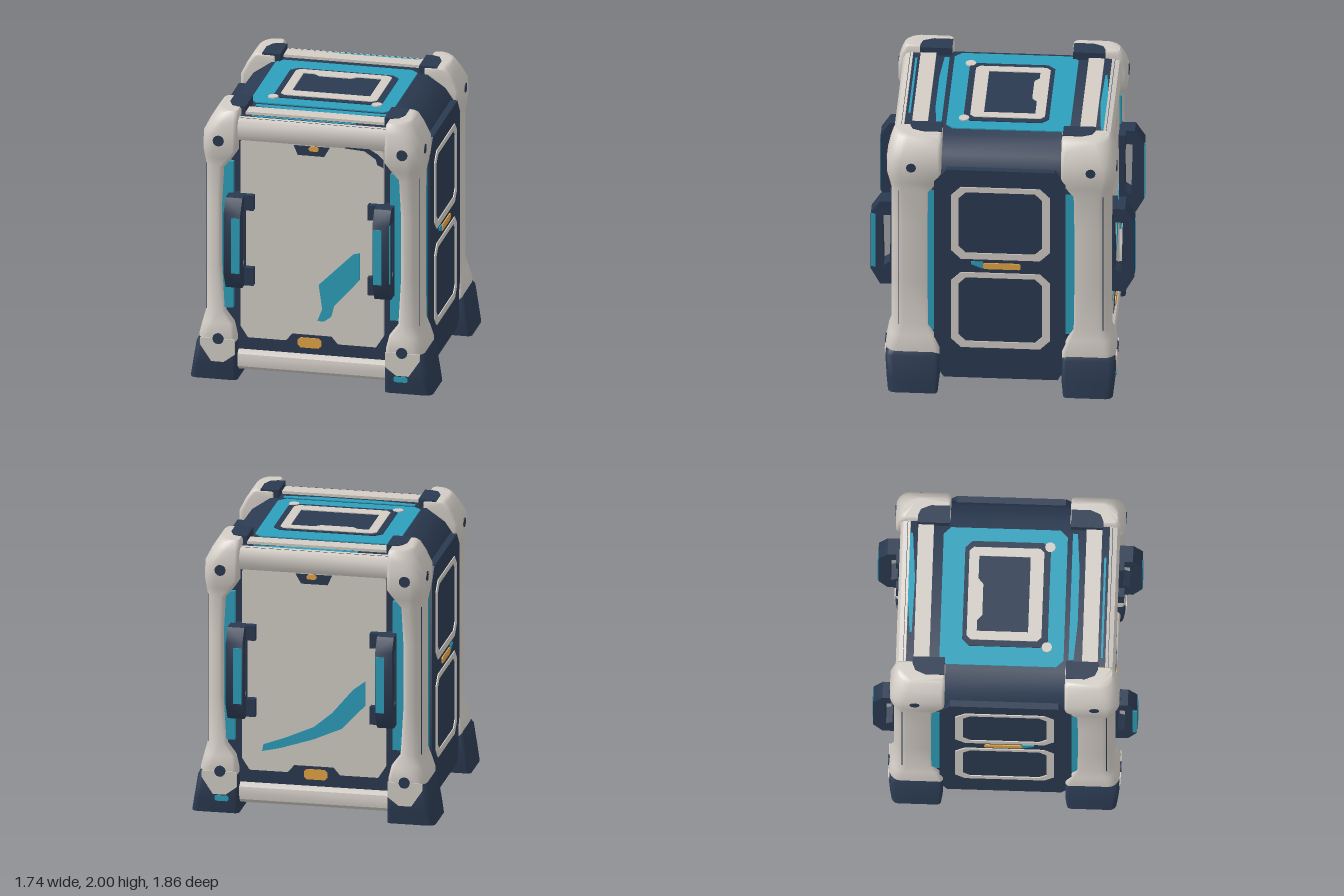
import * as THREE from 'three';
import { toCreasedNormals } from 'three/addons/utils/BufferGeometryUtils.js';

const material = (name, color) => {
  const m = new THREE.MeshStandardMaterial({ color });
  m.name = name;
  return m;
};

// Closed shape from points, with optional hole outlines
function outline(points, ...holes) {
  const toVec = (p) => new THREE.Vector2(p[0], p[1]);
  const shape = new THREE.Shape(points.map(toVec));
  holes.forEach((h) => shape.holes.push(new THREE.Path(h.map(toVec))));
  return shape;
}

// Rectangle with cut corners
const cutRect = (a0, a1, b0, b1, c) => [
  [a0 + c, b0], [a1 - c, b0], [a1, b0 + c], [a1, b1 - c],
  [a1 - c, b1], [a0 + c, b1], [a0, b1 - c], [a0, b0 + c]];

const extrude = (shape, depth) => new THREE.ExtrudeGeometry(shape, { depth, bevelEnabled: false });

// Slabs whose outer face lies at the given coordinate
const frontSlab = (shape, z, depth) => extrude(shape, depth).translate(0, 0, z - depth);
const sideSlab = (shape, x, depth) => extrude(shape, depth).rotateY(-Math.PI / 2).translate(x, 0, 0);
const topSlab = (shape, y, depth) => extrude(shape, depth).rotateX(Math.PI / 2).translate(0, y, 0);

const box = (x0, x1, y0, y1, z0, z1) => new THREE.BoxGeometry(x1 - x0, y1 - y0, z1 - z0)
  .translate((x0 + x1) / 2, (y0 + y1) / 2, (z0 + z1) / 2);

// Rounded-corner column through levels [y, x0, x1, z0, z1, outer radius]
function column(levels) {
  const steps = 5;
  const rings = levels.map(([y, x0, x1, z0, z1, r]) => {
    const ring = [];
    const corners = [[x1, z1, r, 0], [x0, z1, 0.03, 1], [x0, z0, 0.02, 2], [x1, z0, 0.03, 3]];
    for (const [cx, cz, rad, q] of corners) {
      const ox = cx === x1 ? cx - rad : cx + rad;
      const oz = cz === z1 ? cz - rad : cz + rad;
      for (let i = 0; i <= steps; i++) {
        const a = (q + i / steps) * Math.PI / 2;
        ring.push([ox + rad * Math.cos(a), y, oz + rad * Math.sin(a)]);
      }
    }
    return ring;
  });
  const pos = [], n = rings[0].length;
  const tri = (...p) => p.forEach((v) => pos.push(...v));
  for (let k = 0; k < rings.length - 1; k++) {
    for (let j = 0; j < n; j++) {
      const a = rings[k][j], b = rings[k][(j + 1) % n];
      const d = rings[k + 1][j], c = rings[k + 1][(j + 1) % n];
      tri(a, d, c);
      tri(a, c, b);
    }
  }
  const lo = rings[0], hi = rings[rings.length - 1];
  for (let j = 1; j < n - 1; j++) {
    tri(lo[0], lo[j], lo[j + 1]);
    tri(hi[0], hi[j + 1], hi[j]);
  }
  const g = new THREE.BufferGeometry();
  g.setAttribute('position', new THREE.Float32BufferAttribute(pos, 3));
  return g;
}

// Reflected copy with corner order kept facing outward
function mirrored(geo, sx, sz) {
  const g = geo.index ? geo.toNonIndexed() : geo.clone();
  const p = g.attributes.position;
  for (let i = 0; i < p.count; i++) p.setXYZ(i, p.getX(i) * sx, p.getY(i), p.getZ(i) * sz);
  if (sx * sz < 0) {
    for (let i = 0; i < p.count; i += 3) {
      const b = new THREE.Vector3().fromBufferAttribute(p, i + 1);
      const c = new THREE.Vector3().fromBufferAttribute(p, i + 2);
      p.setXYZ(i + 1, c.x, c.y, c.z);
      p.setXYZ(i + 2, b.x, b.y, b.z);
    }
  }
  g.deleteAttribute('normal');
  g.deleteAttribute('uv');
  g.clearGroups();
  return toCreasedNormals(g, 0.7);
}

export function createModel() {
  const white = material('warm white', 0xd2ccc5);
  const navy = material('navy', 0x2b3a51);
  const cyan = material('cyan', 0x2d9fbb);
  const amber = material('amber', 0xe3a546);
  const model = new THREE.Group();
  model.name = 'crate';

  const add = (name, geo, mat, sx = 1, sz = 1) => {
    const mesh = new THREE.Mesh(mirrored(geo, sx, sz), mat);
    mesh.name = name;
    model.add(mesh);
  };
  const both = [1, -1];
  const sides = (name, geo, mat) => both.forEach((s) => add(name, geo, mat, s, 1));
  const ends = (name, geo, mat, sx = 1) => both.forEach((s) => add(name, geo, mat, sx, s));
  const corners = (name, geo, mat) => both.forEach((s) => ends(name, geo, mat, s));

  // Core with sloped shoulders
  add('core', frontSlab(outline([[-0.70, 0.08], [0.70, 0.08], [0.765, 0.16], [0.765, 1.74], [0.69, 1.85],
    [0.56, 1.94], [-0.56, 1.94], [-0.69, 1.85], [-0.765, 1.74], [-0.765, 0.16]]), 0.72, 1.44), navy);

  // Corner posts with swollen ends, and feet
  corners('cornerPost', column([
    [0.24, 0.54, 0.81, 0.43, 0.80, 0.08], [0.33, 0.54, 0.81, 0.43, 0.81, 0.08],
    [0.42, 0.56, 0.79, 0.46, 0.795, 0.09], [0.50, 0.62, 0.77, 0.495, 0.775, 0.09],
    [0.85, 0.64, 0.77, 0.50, 0.775, 0.09], [1.30, 0.64, 0.77, 0.50, 0.775, 0.09],
    [1.58, 0.625, 0.77, 0.495, 0.775, 0.09], [1.65, 0.57, 0.78, 0.45, 0.79, 0.09],
    [1.71, 0.53, 0.785, 0.42, 0.805, 0.09], [1.83, 0.53, 0.785, 0.42, 0.805, 0.10],
    [1.92, 0.53, 0.74, 0.42, 0.785, 0.11], [1.98, 0.53, 0.70, 0.42, 0.765, 0.11],
    [1.995, 0.54, 0.68, 0.43, 0.75, 0.10]]), white);
  corners('foot', column([[0, 0.53, 0.872, 0.44, 0.79, 0.05], [0.10, 0.53, 0.855, 0.43, 0.80, 0.05],
    [0.27, 0.535, 0.825, 0.43, 0.812, 0.05], [0.30, 0.545, 0.81, 0.44, 0.80, 0.06]]), navy);
  corners('footChevron', frontSlab(outline([[0.54, 0.31], [0.54, 0.20], [0.62, 0.14], [0.71, 0.14],
    [0.79, 0.26], [0.79, 0.31]]), 0.815, 0.009), white);
  ends('footMark', frontSlab(outline(cutRect(0.60, 0.70, 0.09, 0.13, 0.01)), 0.808, 0.009), cyan);
  corners('capBracket', topSlab(outline([[0.50, 0.425], [0.63, 0.425], [0.63, 0.56], [0.60, 0.63],
    [0.55, 0.65], [0.50, 0.65]]), 2.0, 0.13), navy);

  // Bolts on post ends
  for (const y of [0.31, 1.785]) {
    corners('frontBolt', new THREE.CylinderGeometry(0.04, 0.04, 0.02, 12).rotateX(Math.PI / 2)
      .translate(0.66, y, y < 1 ? 0.808 : 0.8), navy);
  }
  corners('sideBolt', new THREE.CylinderGeometry(0.035, 0.035, 0.02, 12).rotateZ(Math.PI / 2)
    .translate(0.78, 1.785, 0.63), navy);

  // Cyan strips beside the posts
  corners('frontStrip', box(0.565, 0.66, 0.53, 1.62, 0.6, 0.758), cyan);
  corners('sideStrip', box(0.62, 0.766, 0.46, 1.60, 0.44, 0.55), cyan);

  // Front and back panels, rails and latches
  ends('panel', frontSlab(outline([[-0.515, 0.40], [-0.46, 0.315], [0.46, 0.315], [0.515, 0.40],
    [0.515, 1.77], [0.49, 1.80], [-0.49, 1.80], [-0.515, 1.77]]), 0.75, 0.06), white);
  add('panelSeam', frontSlab(outline([[0.24, 1.785], [0.38, 1.775], [0.46, 1.72], [0.47, 1.68],
    [0.515, 1.66], [0.515, 1.72], [0.47, 1.76], [0.40, 1.80], [0.24, 1.80]]), 0.754, 0.008), navy);
  const railX = 1.08;
  ends('topRail', sideSlab(outline([[0.68, 1.785], [0.75, 1.785], [0.77, 1.83], [0.77, 1.89],
    [0.75, 1.93], [0.70, 1.945], [0.68, 1.90]]), railX / 2, railX), white);
  ends('bottomRail', sideSlab(outline([[0.45, 0.07], [0.73, 0.07], [0.765, 0.10], [0.77, 0.15],
    [0.76, 0.19], [0.72, 0.215], [0.45, 0.215]]), railX / 2, railX), white);
  ends('roofRail', box(-0.52, 0.52, 1.91, 1.96, 0.535, 0.645), white);
  ends('lowerLatch', frontSlab(outline([[-0.20, 0.30], [0.20, 0.30], [0.14, 0.37], [-0.14, 0.37]]), 0.756, 0.03), navy);
  ends('lowerLight', frontSlab(outline(cutRect(-0.10, 0.07, 0.275, 0.35, 0.02)), 0.762, 0.03), amber);
  ends('upperLatch', frontSlab(outline([[-0.10, 1.71], [0.09, 1.71], [0.13, 1.78], [-0.13, 1.78]]), 0.757, 0.009), navy);
  ends('upperLight', frontSlab(outline(cutRect(-0.02, 0.05, 1.745, 1.78, 0.01)), 0.763, 0.009), amber);

  // Painted slashes
  add('frontSlash', frontSlab(outline([[0.04, 0.48], [0.09, 0.48], [0.14, 0.52], [0.16, 0.60],
    [0.345, 0.81], [0.345, 1.01], [0.30, 1.0], [0.05, 0.75], [0.075, 0.57]]), 0.756, 0.008), cyan);
  add('backSlash', frontSlab(outline([[0.37, 0.46], [0.24, 0.49], [0, 0.57], [-0.2, 0.66], [-0.33, 0.80],
    [-0.37, 0.84], [-0.37, 1.02], [-0.28, 0.95], [-0.13, 0.77], [0, 0.66], [0.2, 0.57], [0.36, 0.51]]),
  0.756, 0.008), cyan, 1, -1);

  // Handles on front and back
  corners('handle', sideSlab(outline([[0.73, 0.72], [0.86, 0.72], [0.925, 0.84], [0.925, 1.29],
    [0.86, 1.39], [0.73, 1.39]], [[0.79, 0.90], [0.835, 0.87], [0.845, 1.28], [0.785, 1.28]]), 0.595, 0.12), navy);
  for (const [y0, y1] of [[0.72, 0.85], [1.28, 1.39]]) {
    corners('handleMount', box(0.41, 0.59, y0, y1, 0.70, 0.80), navy);
  }
  corners('handleGrip', box(0.480, 0.54, 0.85, 1.26, 0.923, 0.93), cyan);
  both.forEach((s) => add('handleEdge', box(0.593, 0.6, 0.86, 1.29, 0.893, 0.923), cyan, s, 1));

  // Side panels with two framed windows each
  sides('sidePanel', sideSlab(outline([[-0.40, 0.09], [0.40, 0.09], [0.47, 0.20], [0.47, 1.68],
    [0.38, 1.78], [-0.38, 1.78], [-0.455, 1.68], [-0.455, 0.20]]), 0.785, 0.1), navy);
  for (const [y0, y1] of [[0.34, 0.95], [1.06, 1.645]]) {
    sides('windowFrame', sideSlab(outline(cutRect(-0.345, 0.35, y0, y1, 0.07),
      cutRect(-0.29, 0.295, y0 + 0.05, y1 - 0.04, 0.05)), 0.792, 0.009), white);
  }
  sides('sideLight', sideSlab(outline(cutRect(-0.14, 0.125, 0.983, 1.03, 0.01)), 0.793, 0.009), amber);
  sides('sideMark', sideSlab(outline([[0.125, 0.985], [0.21, 1.02], [0.21, 1.04], [0.125, 1.04]]), 0.792, 0.009), cyan);

  // Roof plates
  add('roofPlate', topSlab(outline(cutRect(-0.53, 0.49, -0.465, 0.405, 0.05)), 1.948, 0.03), cyan);
  add('roofBorder', topSlab(outline(cutRect(-0.39, 0.39, -0.31, 0.29, 0.05)), 1.954, 0.009), navy);
  add('roofFrame', topSlab(outline(cutRect(-0.345, 0.345, -0.28, 0.245, 0.03),
    [[-0.28, -0.21], [-0.20, -0.21], [-0.16, -0.175], [0.07, -0.175], [0.11, -0.21], [0.28, -0.21],
      [0.28, 0.15], [-0.28, 0.15]]), 1.960, 0.009), white);
  for (const x of [-0.385, 0.36]) {
    add('roofStud', new THREE.CylinderGeometry(0.037, 0.037, 0.01, 10).translate(x, 1.953, 0.285), white);
  }
  add('roofStripe', topSlab(outline([[-0.47, 0.44], [0.47, 0.44], [0.47, 0.475], [0.2, 0.495],
    [-0.2, 0.495], [-0.47, 0.475]]), 1.946, 0.009), cyan);
  add('frontGrooveStripe', box(-0.45, 0.30, 1.937, 1.945, 0.665, 0.68), cyan);
  add('backGrooveStripe', topSlab(outline([[-0.30, -0.68], [-0.05, -0.70], [0.44, -0.70], [0.44, -0.68],
    [0.10, -0.655], [-0.30, -0.665]]), 1.945, 0.008), cyan);

  // Underside plates
  const under = (name, shape, y, mat) => add(name, topSlab(shape, y + 0.03, 0.03), mat);
  under('basePlate', outline(cutRect(-0.56, 0.56, -0.52, 0.52, 0.08)), 0.062, navy);
  under('baseFrame', outline(cutRect(-0.45, 0.45, -0.40, 0.40, 0.06)), 0.057, white);
  under('baseInset', outline(cutRect(-0.36, 0.36, -0.32, 0.32, 0.05)), 0.052, navy);
  under('baseCentre', outline(cutRect(-0.33, 0.33, -0.29, 0.29, 0.04)), 0.047, cyan);

  return model;
}
